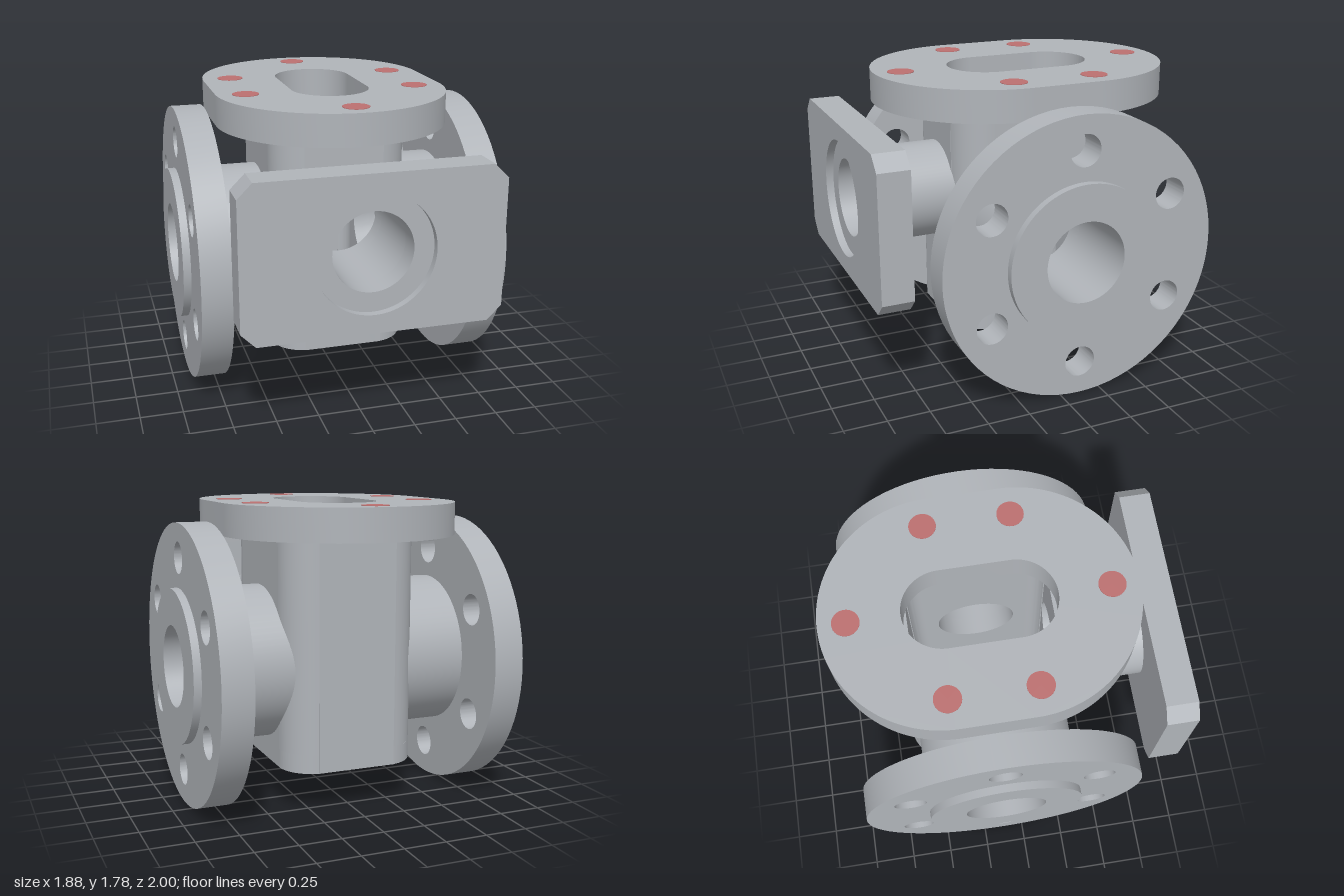
import * as THREE from 'three';
import { toCreasedNormals } from 'three/addons/utils/BufferGeometryUtils.js';

const steel = new THREE.MeshStandardMaterial({ color: 0xb0b4b9 });
steel.name = 'steel grey';
const threadRed = new THREE.MeshStandardMaterial({ color: 0xbc7070 });
threadRed.name = 'thread red';

// Outline helpers
function circle(r, x = 0, y = 0, Type = THREE.Path) {
  return new Type().absarc(x, y, r, 0, Math.PI * 2, false);
}
function stadium(r, h, Type) {
  const p = new Type();
  p.absarc(0, h, r, 0, Math.PI, false);
  p.absarc(0, -h, r, Math.PI, Math.PI * 2, false);
  p.closePath();
  return p;
}
function polygon(points) {
  return new THREE.Shape(points.map(([x, y]) => new THREE.Vector2(x, y)));
}
const rect = (w, y0, y1) => polygon([[-w, y0], [w, y0], [w, y1], [-w, y1]]);

// Extrudes a shape from a to b along an axis, with smooth curves and sharp edges
function solid(shape, axis, a, b, holes = []) {
  shape.holes.push(...holes);
  let g = new THREE.ExtrudeGeometry(shape, { depth: b - a, bevelEnabled: false, curveSegments: 40 });
  g.translate(0, 0, a);
  if (axis === 'x') g.rotateY(Math.PI / 2);
  if (axis === 'y') g.rotateX(-Math.PI / 2);
  return toCreasedNormals(g, 0.5);
}

export function createModel() {
  const model = new THREE.Group();
  model.name = 'valveBody';
  const valve = new THREE.Group();
  valve.name = 'casting';
  valve.position.z = -0.115;
  model.add(valve);
  const add = (name, geometry, material = steel) => {
    const mesh = new THREE.Mesh(geometry, material);
    mesh.name = name;
    valve.add(mesh);
    return mesh;
  };

  const W = 0.405, D = 0.52, T = 0.11, R = 0.2; // chamber half sizes, wall, corner radius
  const y0 = 0.25, y1 = 1.59, boreY = 0.83, portY = 1.06;

  // Chamber floor: rounded rectangle
  const floor = new THREE.Shape();
  [[1, 1], [-1, 1], [-1, -1], [1, -1]].forEach(([sx, sy], i) => {
    floor.absarc(sx * (W - R), sy * (D - R), R, i * Math.PI / 2, (i + 1) * Math.PI / 2, false);
  });
  floor.closePath();
  add('chamberFloor', solid(floor, 'y', y0, y0 + T));

  // Chamber front and back walls
  const E = 0.03, frontHalf = W - R + E;
  add('chamberFrontWall', solid(rect(frontHalf, y0, y1), 'z', D - T, D, [circle(0.23, 0, portY)]));
  add('chamberBackWall', solid(rect(frontHalf, y0, y1), 'z', -D, -D + T));

  // Rounded chamber corners
  for (const sx of [1, -1]) for (const sz of [1, -1]) {
    const arc = (r) => {
      const end = Math.PI / 2 - Math.asin(E / r);
      return Array.from({ length: 13 }, (_, i) => {
        const a = end * i / 12;
        return [sx * (W - R + r * Math.cos(a)), sz * (D - R + r * Math.sin(a))];
      });
    };
    add('chamberCorner', solid(polygon([...arc(R), ...arc(R - T).reverse()]), 'y', y0, y1));
  }

  // Side walls, pipes and round flanges, mirrored
  for (const s of [1, -1]) {
    const part = (name, shape, a, b, holes) =>
      add(name, solid(shape, 'x', Math.min(s * a, s * b), Math.max(s * a, s * b), holes));
    part('chamberSideWall', rect(D - R, y0, y1), W - T, W, [circle(0.24, 0, boreY)]);
    part('sidePipe', circle(0.455, 0, boreY, THREE.Shape), 0.3, 0.94, [circle(0.24, 0, boreY)]);
    const holes = [circle(0.452, 0, boreY)];
    for (let i = 0; i < 6; i++) {
      const a = Math.PI / 2 + i * Math.PI / 3;
      holes.push(circle(0.0925, 0.63 * Math.cos(a), boreY + 0.63 * Math.sin(a)));
    }
    part('sideFlange', circle(0.83, 0, boreY, THREE.Shape), 0.715, 0.895, holes);
  }

  // Top flange with a slotted opening
  add('topFlange', solid(stadium(0.68, 0.205, THREE.Shape), 'y', y1, 1.775, [stadium(0.23, 0.2025, THREE.Path)]));

  // Threaded bolt positions, marked on both faces of the top flange
  for (const [x, z] of [[0, -0.73], [0, 0.73], [0.51, -0.248], [-0.51, -0.248], [0.51, 0.248], [-0.51, 0.248]]) {
    for (const y of [1.775, y1]) {
      const mark = add('boltThread', new THREE.CylinderGeometry(0.077, 0.077, 0.006, 32), threadRed);
      mark.position.set(x, y, z);
    }
  }

  // Front port pipe and chamfered pad with a shallow round recess
  add('frontPipe', solid(circle(0.2825, 0, portY, THREE.Shape), 'z', D - T + 0.005, 0.935, [circle(0.23, 0, portY)]));
  const pad = () => {
    const w = 0.74, b = 0.605, t = 1.51, c = 0.083;
    return polygon([[-w + c, b], [w - c, b], [w, b + c], [w, t - c], [w - c, t], [-w + c, t], [-w, t - c], [-w, b + c]]);
  };
  add('frontPadBack', solid(pad(), 'z', 0.93, 1.07, [circle(0.23, 0, portY)]));
  add('frontPadFace', solid(pad(), 'z', 1.07, 1.115, [circle(0.345, 0, portY)]));

  return model;
}
